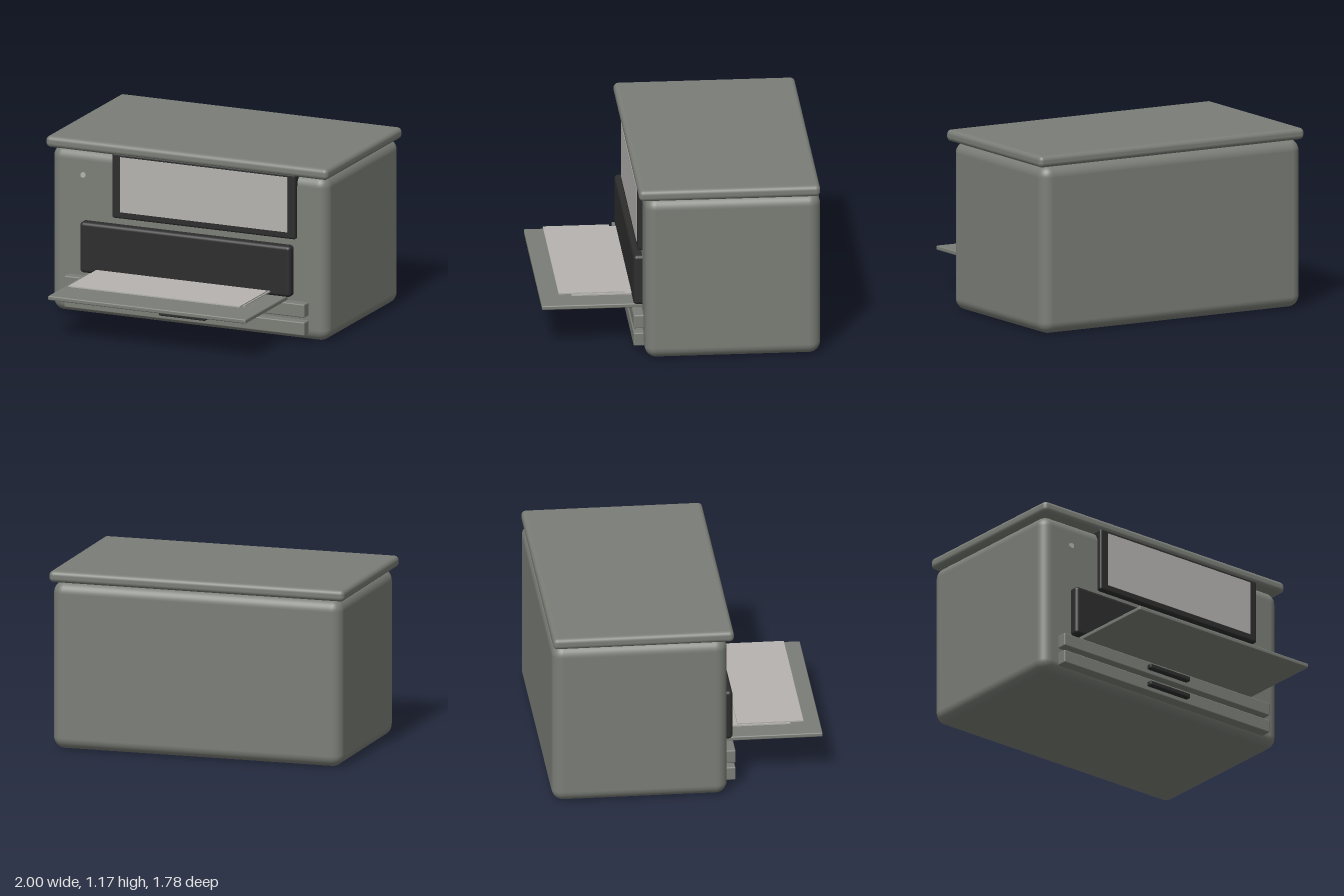
import * as THREE from 'three';
import { RoundedBoxGeometry } from 'three/addons/geometries/RoundedBoxGeometry.js';

const mat = (name, color) => {
  const m = new THREE.MeshStandardMaterial({ color });
  m.name = name;
  return m;
};

export function createModel() {
  const group = new THREE.Group();
  const grey = mat('casing grey', 0x7b7e77);
  const dark = mat('trim black', 0x2d2d2d);
  const light = mat('paper grey', 0xb6b3b0);

  // Box given by its extents on each axis; radius 0 keeps the edges sharp
  const block = (name, material, [x0, x1], [y0, y1], [z0, z1], radius = 0) => {
    const size = [x1 - x0, y1 - y0, z1 - z0];
    const geometry = radius
      ? new RoundedBoxGeometry(...size, 5, radius)
      : new THREE.BoxGeometry(...size);
    const mesh = new THREE.Mesh(geometry, material);
    mesh.name = name;
    mesh.position.set((x0 + x1) / 2, (y0 + y1) / 2, (z0 + z1) / 2);
    group.add(mesh);
  };

  // Main casing and overhanging lid
  block('body', grey, [-0.98, 0.98], [0, 1.1], [-0.89, 0.245], 0.075);
  block('lid', grey, [-1, 1], [1.095, 1.17], [-0.886, 0.286], 0.03);

  // Display: dark bezel with a thin light panel
  block('screenBezel', dark, [-0.53, 0.77], [0.675, 1.11], [0.2, 0.278], 0.015);
  block('screen', light, [-0.47, 0.715], [0.72, 1.088], [0.274, 0.281]);

  // Paper outlet: dark front panel, tray and two staggered sheets
  block('outletPanel', dark, [-0.75, 0.745], [0.29, 0.63], [0.2, 0.302], 0.025);
  block('outputTray', grey, [-0.703, 0.7], [0.257, 0.286], [0.2, 0.89], 0.008);
  block('lowerSheet', light, [-0.608, 0.605], [0.314, 0.323], [0.26, 0.69]);
  block('upperSheet', light, [-0.608, 0.605], [0.328, 0.336], [0.347, 0.775]);

  // Two paper drawers with dark handles
  for (const y of [0.05, 0.17]) {
    block('drawer', grey, [-0.855, 0.85], [y, y + 0.09], [0.2, 0.31], 0.008);
    block('drawerHandle', dark, [-0.167, 0.163], [y + 0.03, y + 0.062], [0.3, 0.345], 0.008);
  }

  // Status light
  const lamp = new THREE.Mesh(new THREE.CylinderGeometry(0.018, 0.018, 0.02, 20), light);
  lamp.name = 'statusLight';
  lamp.rotation.x = Math.PI / 2;
  lamp.position.set(-0.747, 0.93, 0.242);
  group.add(lamp);

  return group;
}
